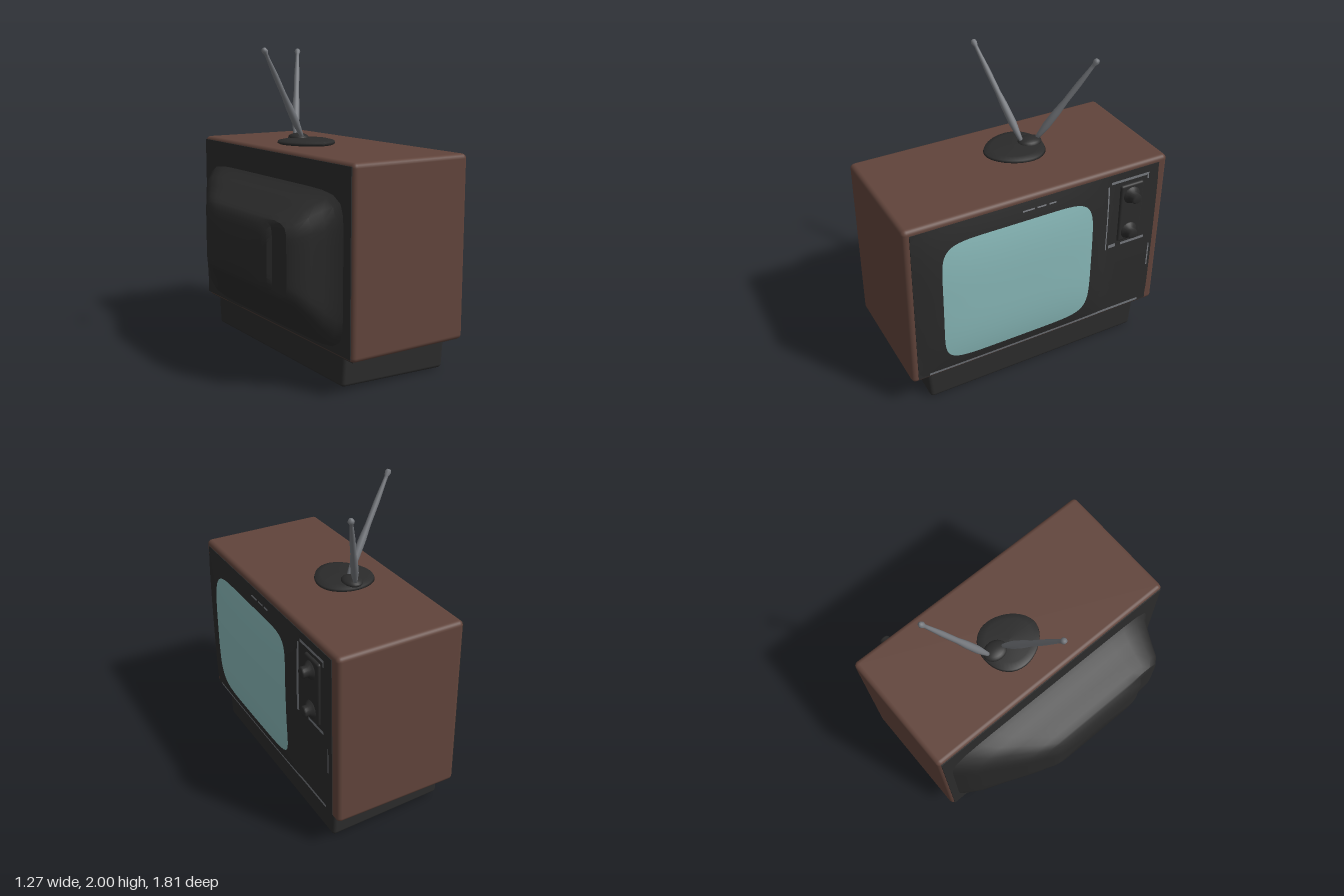
import * as THREE from 'three';
import { toCreasedNormals } from 'three/addons/utils/BufferGeometryUtils.js';
import { RoundedBoxGeometry } from 'three/addons/geometries/RoundedBoxGeometry.js';

const mat = (name, color) => {
  const m = new THREE.MeshStandardMaterial({ color });
  m.name = name;
  return m;
};

// Scale that turns a square of side 2 into a rounded square
const squircle = (u, v, n) => {
  const m = Math.max(Math.abs(u), Math.abs(v));
  return m < 1e-6 ? 1 : m / Math.pow(Math.abs(u) ** n + Math.abs(v) ** n, 1 / n);
};

// Curved front surface: swells around the screen
const frontX = (y, z) => {
  const fy = Math.max(0, 1 - Math.abs((y - 0.79) / 0.55) ** 3);
  const fz = Math.max(0, 1 - Math.abs((z - 0.18) / 0.65) ** 3);
  return 0.541 + 0.008 * fy + 0.042 * fy * Math.sqrt(fz);
};

// Rounded patch lying on the front surface
function frontPatch(y0, y1, z0, z1, n, lift) {
  const g = new THREE.PlaneGeometry(2, 2, 36, 36);
  const p = g.attributes.position;
  for (let i = 0; i < p.count; i++) {
    const u = p.getX(i), v = p.getY(i), s = squircle(u, v, n);
    const y = (y0 + y1) / 2 + (y1 - y0) / 2 * v * s;
    const z = (z0 + z1) / 2 - (z1 - z0) / 2 * u * s;
    p.setXYZ(i, frontX(y, z) + lift, y, z);
  }
  g.computeVertexNormals();
  return g;
}

// Rear housing from rounded sections [x, y0, y1, z0, z1]
function housingGeometry(sections, count = 64) {
  const pos = [], idx = [];
  for (const [x, y0, y1, z0, z1] of sections) {
    for (let i = 0; i < count; i++) {
      const t = (i + 0.5) / count * Math.PI * 2;
      let u = Math.cos(t), v = Math.sin(t);
      const m = Math.max(Math.abs(u), Math.abs(v));
      u /= m; v /= m;
      const s = squircle(u, v, 9);
      pos.push(x, (y0 + y1) / 2 + (y1 - y0) / 2 * v * s, (z0 + z1) / 2 + (z1 - z0) / 2 * u * s);
    }
  }
  const last = sections[sections.length - 1];
  pos.push(last[0], (last[1] + last[2]) / 2, (last[3] + last[4]) / 2);
  const center = sections.length * count;
  for (let i = 0; i < count; i++) {
    const k = (i + 1) % count;
    for (let j = 0; j < sections.length - 1; j++) {
      const a = j * count + i, b = j * count + k;
      idx.push(a, b, a + count, b, b + count, a + count);
    }
    idx.push(center, center - count + i, center - count + k);
  }
  const g = new THREE.BufferGeometry();
  g.setAttribute('position', new THREE.Float32BufferAttribute(pos, 3));
  g.setIndex(idx);
  return toCreasedNormals(g, 0.6);
}

const lathe = (pts, seg = 20) => new THREE.LatheGeometry(pts.map(p => new THREE.Vector2(...p)), seg);

export function createModel() {
  const root = new THREE.Group();
  root.name = 'television';
  const brown = mat('brown wood', 0x61443b), dark = mat('dark plastic', 0x2b2b2b);
  const teal = mat('screen glass', 0x88b8b8), silver = mat('silver trim', 0x74777c);

  const add = (name, geo, material, x = 0, y = 0, z = 0) => {
    const mesh = new THREE.Mesh(geo, material);
    mesh.name = name;
    mesh.position.set(x, y, z);
    root.add(mesh);
    return mesh;
  };
  // Box given by its limits
  const block = (name, material, x0, x1, y0, y1, z0, z1, r = 0) => {
    const d = [x1 - x0, y1 - y0, z1 - z0];
    const g = r ? new RoundedBoxGeometry(...d, 3, r) : new THREE.BoxGeometry(...d);
    return add(name, g, material, (x0 + x1) / 2, (y0 + y1) / 2, (z0 + z1) / 2);
  };

  // Cabinet with dark back and underside
  block('cabinet', brown, -0.305, 0.537, 0.22, 1.375, -0.9, 0.9, 0.03);
  block('backPlate', dark, -0.31, -0.302, 0.24, 1.355, -0.88, 0.88);
  block('undersidePlate', dark, -0.285, 0.515, 0.216, 0.223, -0.875, 0.875);

  // Plinth, narrower and slightly tilted at the bottom
  const plinth = block('plinth', dark, -0.28, 0.495, 0, 0.25, -0.785, 0.785, 0.025);
  const pp = plinth.geometry.attributes.position;
  for (let i = 0; i < pp.count; i++) {
    const low = 0.5 - pp.getY(i) / 0.25;
    pp.setZ(i, pp.getZ(i) * (1 - 0.025 * low));
    pp.setY(i, pp.getY(i) + low * 0.03 * (0.5 - pp.getX(i) / 0.775));
  }

  // Rear tube housing
  add('rearHousing', housingGeometry([
    [-0.30, 0.25, 1.20, -0.84, 0.82], [-0.34, 0.28, 1.17, -0.79, 0.78],
    [-0.40, 0.35, 1.14, -0.71, 0.75], [-0.47, 0.44, 1.10, -0.57, 0.72],
    [-0.55, 0.53, 1.05, -0.42, 0.69], [-0.59, 0.57, 1.03, -0.33, 0.65],
    [-0.60, 0.58, 1.02, -0.30, 0.51], [-0.625, 0.61, 0.99, -0.25, 0.49],
    [-0.637, 0.64, 0.94, -0.20, 0.45],
  ]), dark);

  // Front bezel and screen
  add('bezel', frontPatch(0.25, 1.34, -0.835, 0.86, 24, 0), dark);
  block('bezelEdge', dark, 0.53, 0.541, 0.245, 1.34, -0.835, 0.86);
  add('screen', frontPatch(0.34, 1.23, -0.34, 0.69, 7, 0.004), teal);

  // Silver trim lines: [y0, y1, z0, z1]
  for (const [y0, y1, z0, z1] of [
    [0.255, 0.275, -0.77, 0.79],
    [0.80, 1.27, -0.468, -0.455], [0.795, 0.82, -0.54, -0.455], [0.795, 0.815, -0.76, -0.58],
    [1.277, 1.295, -0.76, -0.48], [1.25, 1.285, -0.76, -0.75],
    [0.55, 0.73, -0.815, -0.805],
    [1.285, 1.295, 0.07, 0.15], [1.285, 1.295, -0.01, 0.05], [1.285, 1.295, -0.08, -0.03],
  ]) add('trim', frontPatch(y0, y1, z0, z1, 40, 0.004), silver);

  // Control plate and knobs
  block('controlPlate', dark, 0.53, 0.562, 0.83, 1.25, -0.72, -0.55, 0.015);
  for (const [y, len] of [[1.17, 0.075], [0.9, 0.068]]) {
    const knob = add('knob', lathe([[0.065, 0], [0.055, 0.02], [0.035, 0.035], [0.035, len - 0.01], [0.027, len], [0, len]]),
      dark, 0.55, y, -0.63);
    knob.rotation.z = -Math.PI / 2;
  }

  // Aerial base: an egg-shaped disc with a small mound
  const disc = lathe([[0.165, 0], [0.185, 0.012], [0.18, 0.026], [0.14, 0.036], [0, 0.042]], 40);
  const dp = disc.attributes.position;
  for (let i = 0; i < dp.count; i++) {
    const z = dp.getZ(i);
    dp.setX(i, dp.getX(i) * (1 - 0.9 * z));
    dp.setZ(i, z * 1.08);
  }
  disc.computeVertexNormals();
  add('aerialBase', disc, dark, 0.03, 1.37, -0.075);
  add('aerialMound', new THREE.SphereGeometry(1, 24, 12), dark, 0.03, 1.405, -0.19).scale.set(0.065, 0.032, 0.08);

  // Two aerial rods, swollen low down and tipped with a bead
  for (const [from, to] of [
    [[0.02, 1.42, -0.135], [-0.35, 1.99, 0.01]],
    [[0.035, 1.42, -0.24], [0.24, 1.98, -0.53]],
  ]) {
    const a = new THREE.Vector3(...from), dir = new THREE.Vector3(...to).sub(a), L = dir.length();
    const rod = add('aerialRod', lathe([[0, 0], [0.013, 0], [0.017, 0.06 * L], [0.025, 0.17 * L], [0.024, 0.35 * L], [0.018, 0.48 * L],
      [0.018, 0.7 * L], [0.012, 0.9 * L], [0.012, 0.94 * L], [0.02, 0.975 * L], [0.014, L], [0, L + 0.005]], 14), silver, ...from);
    rod.quaternion.setFromUnitVectors(new THREE.Vector3(0, 1, 0), dir.normalize());
  }

  // The set stands very slightly turned
  root.rotation.y = -0.011;
  return root;
}
